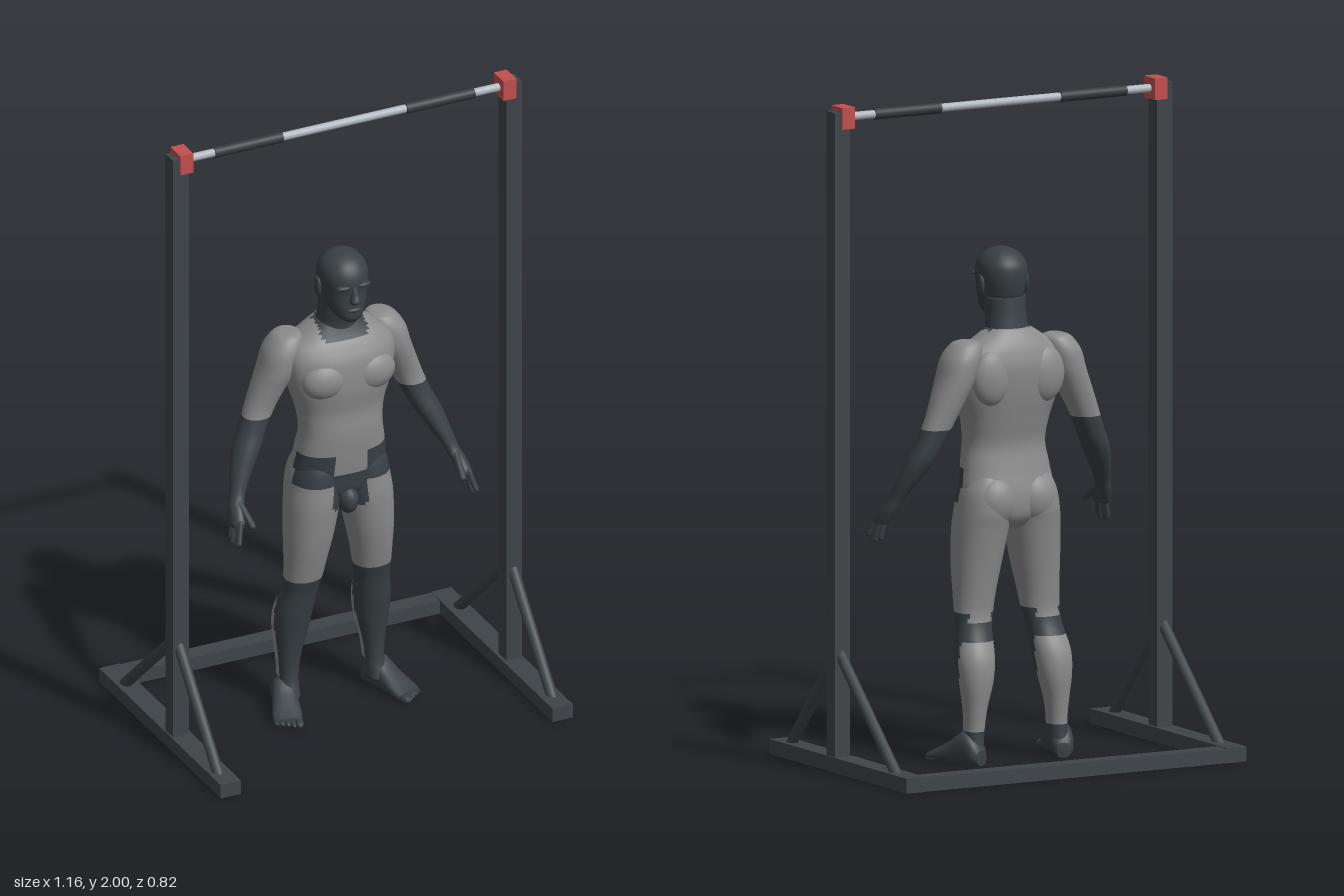
import * as THREE from 'three';

const mat = (name, color) => Object.assign(new THREE.MeshStandardMaterial({ color }), { name });
const V = (x, y, z) => new THREE.Vector3(x, y, z);

export function createModel() {
  const frameMat = mat('charcoal steel', 0x3d4448);
  const gripMat = mat('grip rubber', 0x34393d);
  const barMat = mat('polished bar', 0xaeb6be);
  const redMat = mat('red bracket', 0xc24f4d);
  const skinMat = mat('grey body', 0x8b8b8b);
  const darkMat = mat('dark body', 0x394045);

  const root = new THREE.Group();
  const frame = new THREE.Group(), body = new THREE.Group();
  frame.name = 'pullUpStand';
  body.name = 'standingFigure';
  root.add(frame, body);

  const add = (parent, name, geo, material) => {
    const m = new THREE.Mesh(geo, material);
    m.name = name;
    parent.add(m);
    return m;
  };
  // box given by its extents
  const box = (name, x0, x1, y0, y1, z0, z1, m) => add(frame, name,
    new THREE.BoxGeometry(x1 - x0, y1 - y0, z1 - z0)
      .translate((x0 + x1) / 2, (y0 + y1) / 2, (z0 + z1) / 2), m);
  // round-ended rod between two points
  const rod = (parent, name, a, b, r, m) => {
    const d = b.clone().sub(a);
    const mesh = add(parent, name, new THREE.CapsuleGeometry(r, d.length(), 5, 12), m);
    mesh.position.copy(a).add(b).multiplyScalar(0.5);
    mesh.quaternion.setFromUnitVectors(V(0, 1, 0), d.normalize());
  };
  const ball = (name, x, y, z, rx, ry, rz, m) => add(body, name,
    new THREE.SphereGeometry(1, 20, 14).scale(rx, ry, rz).translate(x, y, z), m);

  // smooth loft through level rings [y, x0, x1, z0, z1]; paint() picks dark faces
  const loft = (rings, paint = () => true, side = 1, power = 0.92, n = 40, sub = 7) => {
    const keys = rings.map(([y, a, b, c, d]) => side > 0 ? [y, a, b, c, d] : [y, -b, -a, c, d])
      .sort((p, q) => p[0] - q[0]);
    const at = i => keys[Math.max(0, Math.min(keys.length - 1, i))];
    const levels = [];
    for (let i = 0; i < keys.length - 1; i++) {
      for (let s = 0; s < sub; s++) {
        const t = s / sub;
        levels.push(at(i).map((p1, k) => {
          const p0 = at(i - 1)[k], p2 = at(i + 1)[k], p3 = at(i + 2)[k];
          return p1 + 0.5 * t * (p2 - p0 + t * (2 * p0 - 5 * p1 + 4 * p2 - p3
            + t * (3 * (p1 - p2) + p3 - p0)));
        }));
      }
    }
    levels.push(at(keys.length - 1));
    const closed = ([y, a, b, c, d]) => [y, (a + b) / 2, (a + b) / 2, (c + d) / 2, (c + d) / 2];
    levels.unshift(closed(levels[0]));
    levels.push(closed(levels[levels.length - 1]));

    const pos = [], lists = [[], []];
    const round = v => Math.sign(v) * Math.abs(v) ** power;
    for (const [y, x0, x1, z0, z1] of levels) {
      for (let j = 0; j < n; j++) {
        const a = j / n * Math.PI * 2;
        pos.push((x0 + x1) / 2 + (x1 - x0) / 2 * round(Math.cos(a)), y,
          (z0 + z1) / 2 + (z1 - z0) / 2 * round(Math.sin(a)));
      }
    }
    for (let i = 0; i < levels.length - 1; i++) {
      for (let j = 0; j < n; j++) {
        const k = (j + 1) % n;
        const A = i * n + j, B = A + n, C = i * n + k, D = C + n;
        const mid = c => (pos[A * 3 + c] + pos[D * 3 + c]) / 2;
        lists[paint(mid(0), mid(1), mid(2)) ? 1 : 0].push(A, B, C, C, B, D);
      }
    }
    const g = new THREE.BufferGeometry();
    g.setAttribute('position', new THREE.Float32BufferAttribute(pos, 3));
    g.setIndex([...lists[0], ...lists[1]]);
    g.addGroup(0, lists[0].length, 0);
    g.addGroup(lists[0].length, lists[1].length, 1);
    g.computeVertexNormals();
    return g;
  };
  const bodyMats = [skinMat, darkMat];
  const sym = rows => rows.map(([y, w, z0, z1]) => [y, -w, w, z0, z1]);

  // stand: rear rail, then each side's runner, post, braces and bracket
  box('rearRail', -0.515, 0.515, 0, 0.043, -0.41, -0.352, frameMat);
  for (const s of [1, -1]) {
    const sideBox = (name, a, b, ...rest) => box(name, Math.min(a * s, b * s), Math.max(a * s, b * s), ...rest);
    sideBox('floorRunner', 0.515, 0.582, 0, 0.045, -0.412, 0.41, frameMat);
    sideBox('post', 0.525, 0.577, 0.04, 1.985, 0.025, 0.077, frameMat);
    sideBox('barBracket', 0.513, 0.556, 1.935, 2, 0.017, 0.083, redMat);
    rod(frame, 'frontBrace', V(0.552 * s, 0.355, 0.055), V(0.552 * s, 0.035, 0.335), 0.017, frameMat);
    rod(frame, 'rearBrace', V(0.552 * s, 0.355, 0.04), V(0.552 * s, 0.035, -0.305), 0.017, frameMat);
    add(frame, 'grip', new THREE.CylinderGeometry(0.0165, 0.0165, 0.225, 24)
      .rotateZ(Math.PI / 2).translate(0.317 * s, 1.967, 0.05), gripMat);
  }
  add(frame, 'pullUpBar', new THREE.CylinderGeometry(0.0125, 0.0125, 1.04, 24)
    .rotateZ(Math.PI / 2).translate(0, 1.967, 0.05), barMat);

  // dark patches around the hips, and the shin, knee and foot areas
  const hipPaint = (x, y, z) => z > 0.02 && ((Math.abs(x) > 0.05 && y > 0.775 && y < 0.88)
    || (Math.abs(x) < 0.055 && y > 0.69 && y < 0.81));
  const legPaint = (x, y, z) => hipPaint(x, y, z) || y < 0.1
    || (y < 0.45 && z > -0.035) || (y > 0.37 && y < 0.42);

  add(body, 'torso', loft(sym([
    [0.70, 0.04, -0.05, 0.05], [0.74, 0.11, -0.08, 0.09], [0.80, 0.147, -0.085, 0.1],
    [0.88, 0.14, -0.07, 0.11], [0.95, 0.13, -0.06, 0.115], [1.02, 0.138, -0.072, 0.112],
    [1.10, 0.163, -0.088, 0.122], [1.18, 0.178, -0.096, 0.117], [1.23, 0.168, -0.088, 0.095],
    [1.265, 0.12, -0.075, 0.07], [1.30, 0.068, -0.055, 0.05],
  ]), (x, y, z) => hipPaint(x, y, z) || (y > 1.25 && Math.abs(x) < 0.075 && z > -0.02), 1, 0.85), bodyMats);
  ball('crotch', 0, 0.715, 0.075, 0.032, 0.045, 0.042, darkMat);

  // neck and head
  add(body, 'neck', loft(sym([
    [1.25, 0.075, -0.055, 0.065], [1.29, 0.066, -0.052, 0.062], [1.34, 0.061, -0.045, 0.075], [1.39, 0.06, -0.04, 0.08],
  ])), bodyMats);
  add(body, 'head', loft(sym([
    [1.328, 0.022, 0.065, 0.115], [1.345, 0.043, 0.015, 0.129], [1.38, 0.06, -0.028, 0.129],
    [1.42, 0.068, -0.043, 0.126], [1.46, 0.073, -0.047, 0.129], [1.49, 0.069, -0.041, 0.12],
    [1.515, 0.053, -0.02, 0.1], [1.53, 0.03, 0.005, 0.072], [1.535, 0.012, 0.025, 0.05],
  ])), bodyMats);
  add(body, 'nose', loft(sym([
    [1.392, 0.011, 0.11, 0.134], [1.404, 0.017, 0.11, 0.148], [1.425, 0.011, 0.11, 0.139], [1.45, 0.008, 0.11, 0.129],
  ])), bodyMats);
  ball('mouth', 0, 1.372, 0.123, 0.025, 0.008, 0.011, darkMat);

  for (const s of [1, -1]) {
    ball('ear', 0.076 * s, 1.425, 0.03, 0.009, 0.032, 0.019, darkMat);
    ball('brow', 0.03 * s, 1.449, 0.117, 0.027, 0.008, 0.013, darkMat);
    ball('chestMuscle', 0.076 * s, 1.135, 0.082, 0.076, 0.062, 0.047, skinMat);
    ball('shoulderBlade', 0.09 * s, 1.16, -0.062, 0.065, 0.085, 0.037, skinMat);
    ball('buttock', 0.068 * s, 0.785, -0.046, 0.067, 0.075, 0.05, skinMat);

    // arm down to the knuckles
    add(body, 'arm', loft([
      [1.272, 0.13, 0.175, -0.05, 0.01], [1.26, 0.11, 0.2, -0.068, 0.032], [1.22, 0.115, 0.228, -0.085, 0.05],
      [1.16, 0.135, 0.246, -0.085, 0.05], [1.10, 0.165, 0.268, -0.076, 0.036], [1.04, 0.197, 0.29, -0.065, 0.025],
      [0.98, 0.228, 0.313, -0.055, 0.03], [0.92, 0.258, 0.341, -0.042, 0.046], [0.86, 0.295, 0.36, -0.012, 0.06],
      [0.80, 0.33, 0.376, 0.025, 0.077], [0.77, 0.342, 0.388, 0.038, 0.105], [0.74, 0.352, 0.396, 0.055, 0.13],
      [0.725, 0.36, 0.397, 0.065, 0.132],
    ], (x, y) => y < 1.015, s), bodyMats);
    // fingers fan out in depth, thumb points forward and inward
    for (let i = 0; i < 4; i++) {
      const len = [0.9, 1, 1.05, 0.85][i];
      rod(body, 'finger', V(0.377 * s, 0.74, 0.074 + i * 0.017),
        V((0.388 + (i % 2) * 0.004) * s, 0.74 - 0.064 * len, 0.083 + i * 0.021), 0.0085, darkMat);
    }
    rod(body, 'thumb', V(0.358 * s, 0.785, 0.075), V(0.348 * s, 0.735, 0.145), 0.011, darkMat);

    // leg and foot
    add(body, 'leg', loft([
      [0.88, 0.04, 0.12, -0.045, 0.07], [0.82, 0.006, 0.149, -0.082, 0.096], [0.76, 0.003, 0.161, -0.09, 0.102],
      [0.70, 0.008, 0.169, -0.08, 0.104], [0.60, 0.026, 0.173, -0.064, 0.094], [0.52, 0.043, 0.172, -0.053, 0.078],
      [0.45, 0.055, 0.172, -0.046, 0.06], [0.40, 0.065, 0.174, -0.055, 0.045], [0.32, 0.072, 0.188, -0.09, 0.03],
      [0.25, 0.082, 0.186, -0.097, 0.015], [0.17, 0.102, 0.176, -0.087, 0.002], [0.10, 0.111, 0.172, -0.08, 0],
      [0.04, 0.112, 0.178, -0.085, 0.02],
    ], legPaint, s), bodyMats);
    const place = g => g.rotateY(0.32 * s).translate(0.14 * s, 0, -0.09);
    add(body, 'foot', place(loft([
      [0, -0.02, 0.02, -0.045, 0], [0.02, -0.034, 0.034, -0.075, 0], [0.06, -0.036, 0.036, -0.1, 0],
      [0.11, -0.04, 0.04, -0.068, 0], [0.16, -0.044, 0.046, -0.04, 0], [0.19, -0.04, 0.042, -0.026, 0],
    ], () => true, s, 0.8).rotateX(Math.PI / 2)), bodyMats);
    for (let i = 0; i < 5; i++) {
      const r = i ? 0.0095 : 0.013;
      add(body, 'toe', place(new THREE.SphereGeometry(1, 12, 8).scale(r, r, 0.022)
        .translate((-0.03 + i * 0.0165) * s, r, 0.2 - i * 0.007)), darkMat);
    }
  }
  return root;
}
